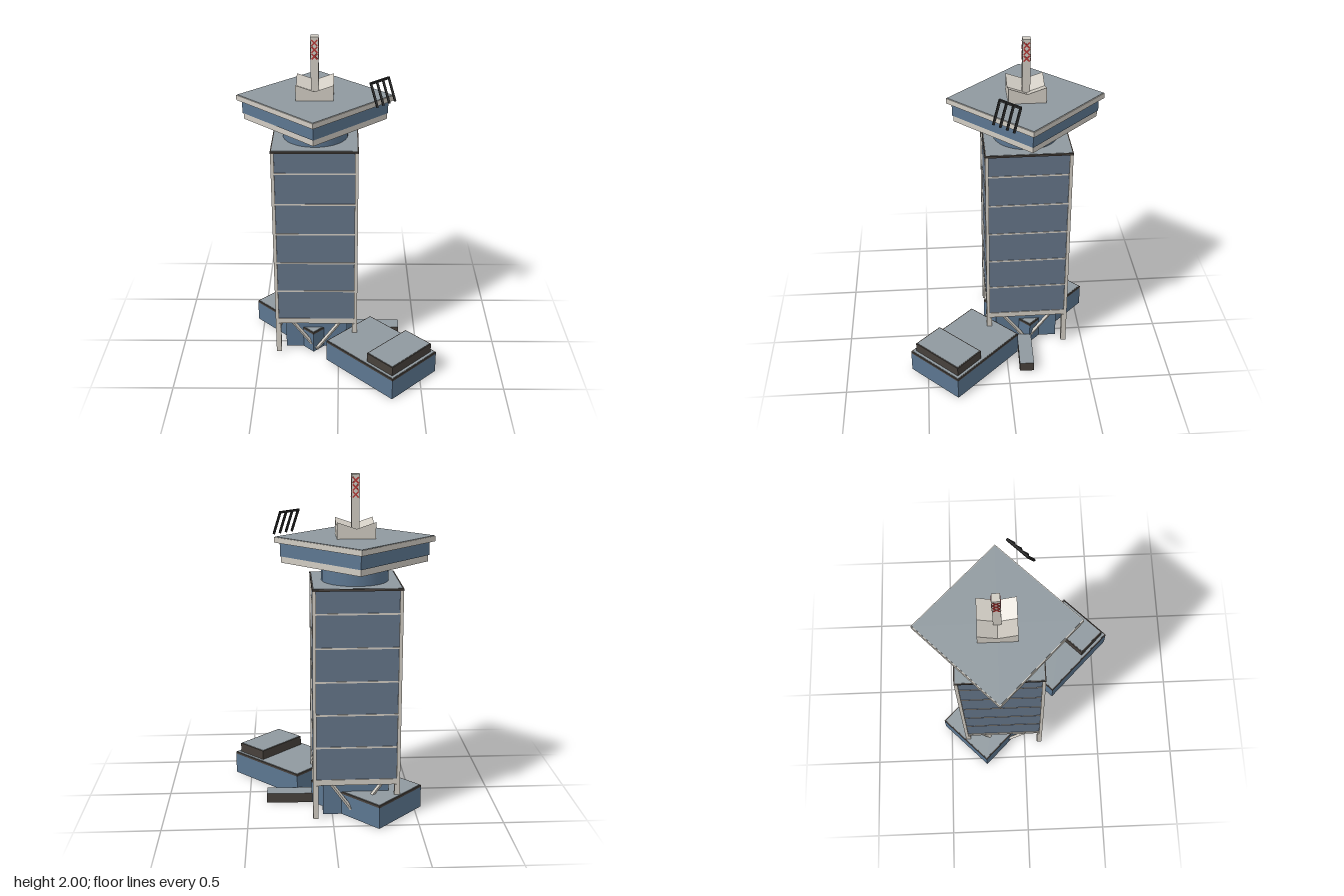
import * as THREE from 'three';

const mat = (name, color) => {
  const m = new THREE.MeshStandardMaterial({ color });
  m.name = name;
  return m;
};

export function createModel() {
  const glass = mat('tower glass', 0x647488);
  const blue = mat('blue wall', 0x5c7690);
  const white = mat('pale frame', 0xd0cbc2);
  const roof = mat('grey roof', 0x8f999f);
  const dark = mat('dark trim', 0x47413c);
  const black = mat('black rail', 0x2a2a2a);
  const red = mat('red marking', 0xb83a38);

  const model = new THREE.Group();
  model.name = 'tower building';
  // Everything is placed around the tower axis
  const site = new THREE.Group();
  site.name = 'site';
  site.position.set(-0.14, 0, -0.14);
  model.add(site);

  const add = (parent, name, geo, m, x = 0, y = 0, z = 0) => {
    const mesh = new THREE.Mesh(geo, m);
    mesh.name = name;
    mesh.position.set(x, y, z);
    parent.add(mesh);
    return mesh;
  };
  // Box given by its ranges in x, y and z
  const block = (parent, name, m, x0, x1, y0, y1, z0, z1) =>
    add(parent, name, new THREE.BoxGeometry(x1 - x0, y1 - y0, z1 - z0), m,
      (x0 + x1) / 2, (y0 + y1) / 2, (z0 + z1) / 2);
  // Square bar between two points
  const bar = (parent, name, m, a, b, t) => {
    const p = new THREE.Vector3(...a), q = new THREE.Vector3(...b);
    const mesh = add(parent, name, new THREE.BoxGeometry(t, t, p.distanceTo(q)), m);
    mesh.position.copy(p).add(q).multiplyScalar(0.5);
    mesh.quaternion.setFromUnitVectors(new THREE.Vector3(0, 0, 1), q.sub(p).normalize());
    return mesh;
  };
  // Hollow rectangular walls, open above and below
  const rect = (P, x0, x1, z) => new P([[x0, -z], [x1, -z], [x1, z], [x0, z]].map(p => new THREE.Vector2(...p)));
  const walls = (parent, name, m, x0, x1, z, h) => {
    const t = 0.006;
    const s = rect(THREE.Shape, x0, x1, z);
    s.holes.push(rect(THREE.Path, x0 + t, x1 - t, z - t));
    const g = new THREE.ExtrudeGeometry(s, { depth: h, bevelEnabled: false });
    return add(parent, name, g.rotateX(-Math.PI / 2), m);
  };
  const capped = top => [dark, dark, top, dark, dark, dark];
  // Roof slab with dark sides and a grey panel inside a dark rim
  const slab = (parent, name, x0, x1, y0, y1, z) => {
    block(parent, name, dark, x0, x1, y0, y1, -z, z);
    block(parent, name + 'Panel', roof, x0 + 0.007, x1 - 0.007, y1, y1 + 0.002, -z + 0.007, z - 0.007);
  };

  // Podium wings along the diagonal
  const podium = new THREE.Group();
  podium.name = 'podium';
  podium.rotation.y = -Math.PI / 4;
  site.add(podium);
  for (const [name, a, b] of [['frontWing', 0.29, 0.849], ['backWing', -0.37, 0.17]]) {
    walls(podium, name, blue, a, b, 0.198, 0.13);
    slab(podium, name + 'Roof', a, b, 0.13, 0.143, 0.198);
  }
  slab(podium, 'roofBlock', 0.617, 0.825, 0.143, 0.203, 0.175);

  // Low side entrance
  const entrance = add(site, 'sideEntrance', new THREE.BoxGeometry(0.28, 0.06, 0.088), capped(roof), 0.392, 0.03, 0.02);
  entrance.rotation.y = -0.03;

  // Core at ground level and neck above the tower
  walls(site, 'lowerCore', blue, -0.195, 0.195, 0.195, 0.21);
  add(site, 'neck', new THREE.CylinderGeometry(0.195, 0.195, 0.11, 32), blue, 0, 1.435, 0);

  // Tower shaft
  block(site, 'towerGlass', glass, -0.246, 0.246, 0.23, 1.38, -0.246, 0.246);
  block(site, 'towerBase', white, -0.25, 0.25, 0.21, 0.245, -0.25, 0.25);
  for (let i = 0; i < 5; i++) {
    const y = 0.445 + i * 0.2;
    block(site, 'floorBand', white, -0.249, 0.249, y - 0.005, y + 0.005, -0.249, 0.249);
  }
  slab(site, 'towerRoof', -0.257, 0.257, 1.378, 1.39, 0.257);

  // Corner posts and legs
  for (const sx of [-1, 1]) for (const sz of [-1, 1]) {
    add(site, 'cornerPost', new THREE.BoxGeometry(0.02, 1.168, 0.02), white, sx * 0.246, 0.794, sz * 0.246);
    add(site, 'cornerLeg', new THREE.BoxGeometry(0.032, 0.21, 0.032), white, sx * 0.24, 0.105, sz * 0.24);
  }

  // V braces on every side
  for (let i = 0; i < 4; i++) {
    const side = new THREE.Group();
    side.name = 'braces';
    side.rotation.y = i * Math.PI / 2;
    for (const s of [-1, 1]) bar(side, 'brace', white, [0, 0.012, 0.24], [s * 0.145, 0.212, 0.24], 0.017);
    site.add(side);
  }

  // Overhanging head, turned by 45 degrees; radii are half diagonals
  const prism = (name, m, rTop, rBottom, y0, y1) => {
    const g = new THREE.CylinderGeometry(rTop, rBottom, y1 - y0, 4).toNonIndexed();
    g.computeVertexNormals();
    return add(site, name, g, m, 0, (y0 + y1) / 2, 0);
  };
  prism('headUnderside', white, 0.425, 0.2, 1.47, 1.495);
  prism('headSill', white, 0.425, 0.425, 1.495, 1.532);
  prism('headWindows', blue, 0.432, 0.432, 1.532, 1.612);
  prism('headRoofEdge', white, 0.465, 0.465, 1.612, 1.643);
  prism('headRoof', roof, 0.458, 0.458, 1.643, 1.646);

  // Mast base: raised corners falling to a low centre
  const base = new THREE.BoxGeometry(0.22, 0.09, 0.22, 2, 1, 2);
  const p = base.attributes.position;
  for (let i = 0; i < p.count; i++) {
    if (p.getY(i) < 0) continue;
    const k = (Math.abs(p.getX(i)) + Math.abs(p.getZ(i))) / 0.11;
    p.setY(i, -0.025 + k * 0.038);
  }
  const baseFlat = base.toNonIndexed();
  baseFlat.computeVertexNormals();
  add(site, 'mastBase', baseFlat, white, 0, 1.69, 0);

  // Mast with red crosses on all sides
  block(site, 'mast', white, -0.023, 0.023, 1.645, 2, -0.023, 0.023);
  for (let i = 0; i < 4; i++) {
    const face = new THREE.Group();
    face.name = 'mastCrosses';
    face.rotation.y = i * Math.PI / 2;
    for (let j = 0; j < 3; j++) for (const s of [-1, 1]) {
      const y = 1.885 + j * 0.04;
      add(face, 'cross', new THREE.BoxGeometry(0.009, 0.048, 0.003), red, 0, y, 0.0235).rotation.z = s * 0.78;
    }
    site.add(face);
  }

  // Leaning rail at the edge of the head
  const rail = new THREE.Group();
  rail.name = 'leaningRail';
  site.add(rail);
  const head = i => [0.322 + i * 0.035, 1.775, 0.175 - i * 0.035];
  for (let i = 0; i < 4; i++) {
    const [x, y, z] = head(i);
    bar(rail, 'railBar', black, [x, y, z], [x + 0.039, 1.645, z + 0.039], 0.012);
  }
  bar(rail, 'railTop', black, head(-0.1), head(3.1), 0.012);

  return model;
}
